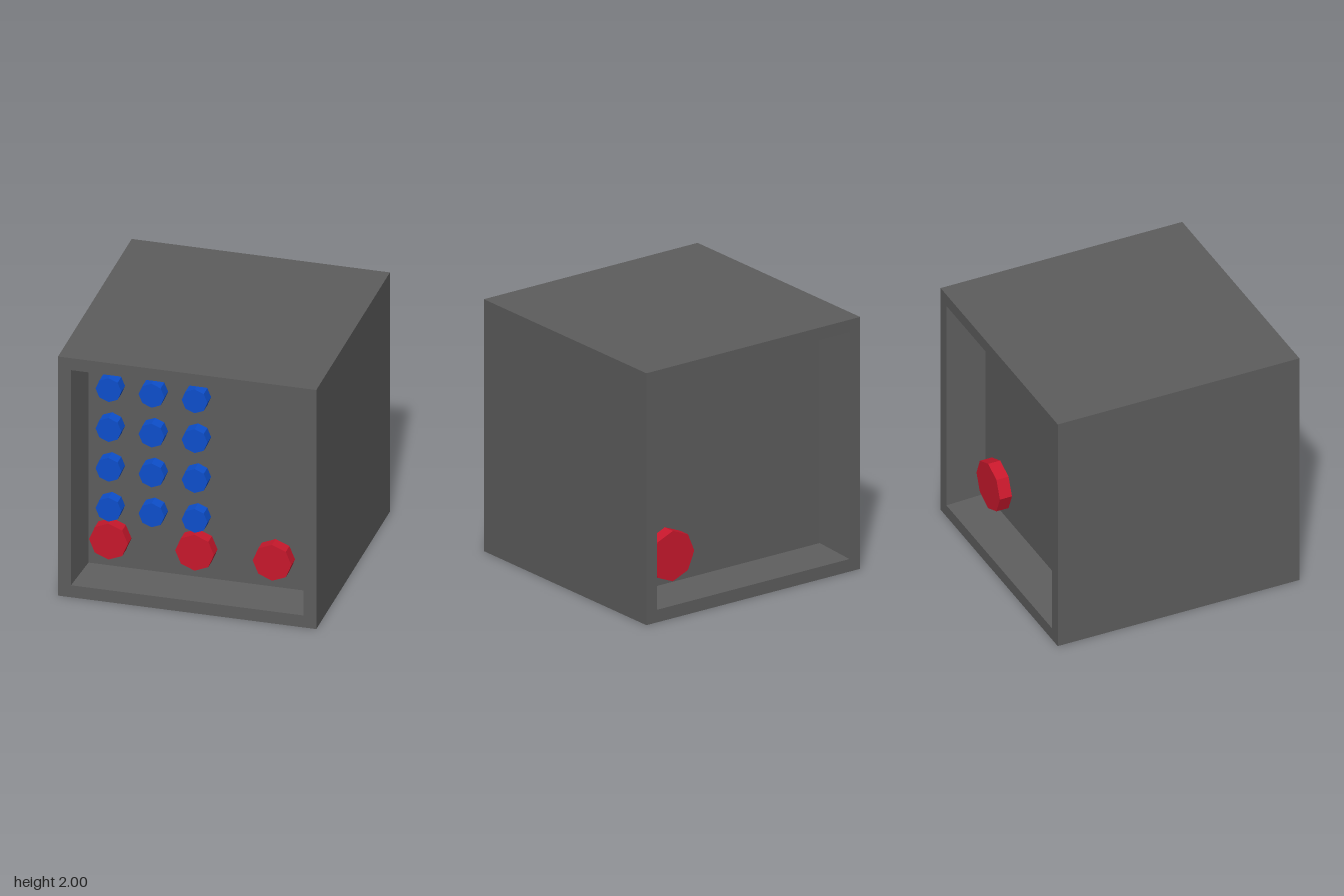
import * as THREE from 'three';

const paint = (color) => new THREE.MeshStandardMaterial({ color, flatShading: true });

export function createModel() {
  const model = new THREE.Group();
  model.name = 'buttonCube';
  const grey = paint(0x5d5d5d), blue = paint(0x0d4fcc), red = paint(0xc8182c);
  const FLOOR = 0.7; // depth of both recess floors from the centre

  // Cube with a tapered square recess at front and back: a four-sided lathe along z
  const profile = [
    [0, -FLOOR], [0.85, -FLOOR], [0.9, -1], [1, -1],
    [1, 1], [0.9, 1], [0.85, FLOOR], [0, FLOOR],
  ].map(([half, z]) => new THREE.Vector2(half * Math.SQRT2, z));
  const shell = new THREE.LatheGeometry(profile, 4, Math.PI / 4).rotateX(Math.PI / 2);
  const body = new THREE.Mesh(shell, grey);
  body.name = 'body';
  body.position.y = 1;
  model.add(body);

  // Octagonal buttons standing on a recess floor; side is 1 for front, -1 for back
  const addButton = (name, x, y, radius, material, side = 1) => {
    const geometry = new THREE.CylinderGeometry(radius, radius, 0.1, 8).rotateX(Math.PI / 2);
    const button = new THREE.Mesh(geometry, material);
    button.name = name;
    button.position.set(x, y, side * (FLOOR + 0.05));
    model.add(button);
  };

  // Keypad of three columns and four rows
  for (let row = 0; row < 4; row++) {
    for (let col = 0; col < 3; col++) {
      addButton('keypadButton', (col - 2) / 3, (row + 2) / 3, 0.1, blue);
    }
  }

  // Larger buttons below the keypad, and a single one on the back
  for (const x of [-2 / 3, 0, 0.6]) addButton('largeButton', x, 0.4, 0.15, red);
  addButton('backButton', 0.6, 0.4, 0.2, red, -1);

  return model;
}
